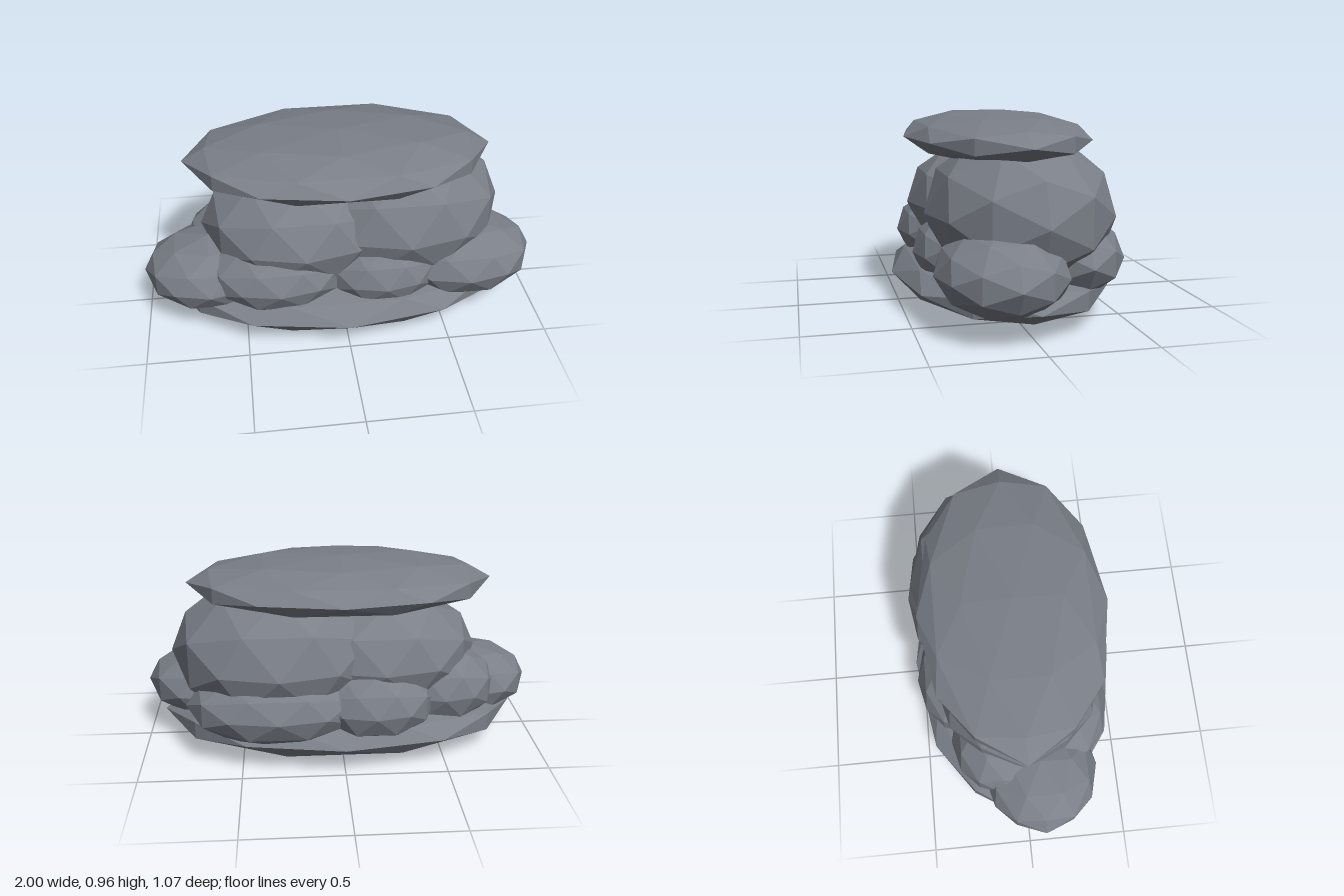
import * as THREE from 'three';

const stone = new THREE.MeshStandardMaterial({ color: 0x7a7f88, flatShading: true });
stone.name = 'greyStone';

// one faceted rock: centre and half-sizes
function rock(name, [x, y, z], [rx, ry, rz]) {
  const geometry = new THREE.IcosahedronGeometry(1, 1);
  geometry.rotateY(Math.PI / 2).scale(rx, ry, rz);
  geometry.computeVertexNormals();
  const mesh = new THREE.Mesh(geometry, stone);
  mesh.name = name;
  mesh.position.set(x, y, z);
  return mesh;
}

export function createModel() {
  const group = new THREE.Group();
  group.name = 'rockPile';
  const rocks = [
    // flat slabs
    ['baseSlab', [0, 0.147, 0], [0.91, 0.145, 0.53]],
    ['topSlab', [0, 0.836, 0], [0.765, 0.126, 0.46]],
    // large boulders under the top slab
    ['leftBoulder', [0.31, 0.5, -0.05], [0.54, 0.38, 0.46]],
    ['rightBoulder', [-0.2, 0.475, 0], [0.5, 0.32, 0.42]],
    // ring of smaller rocks on the base
    ['leftEndRock', [0.62, 0.275, 0.11], [0.38, 0.2, 0.31]],
    ['rightEndRock', [-0.67, 0.265, 0.08], [0.33, 0.185, 0.29]],
    ['frontLeftRock', [0.19, 0.29, 0.2], [0.31, 0.2, 0.25]],
    ['frontRightRock', [-0.33, 0.305, 0.2], [0.36, 0.195, 0.26]],
    ['backLeftRock', [0.32, 0.295, -0.28], [0.45, 0.2, 0.26]],
    ['backMiddleRock', [-0.15, 0.295, -0.27], [0.31, 0.2, 0.245]],
    ['backRightRock', [-0.5, 0.31, -0.11], [0.29, 0.21, 0.25]],
  ];
  for (const [name, centre, size] of rocks) group.add(rock(name, centre, size));
  return group;
}
